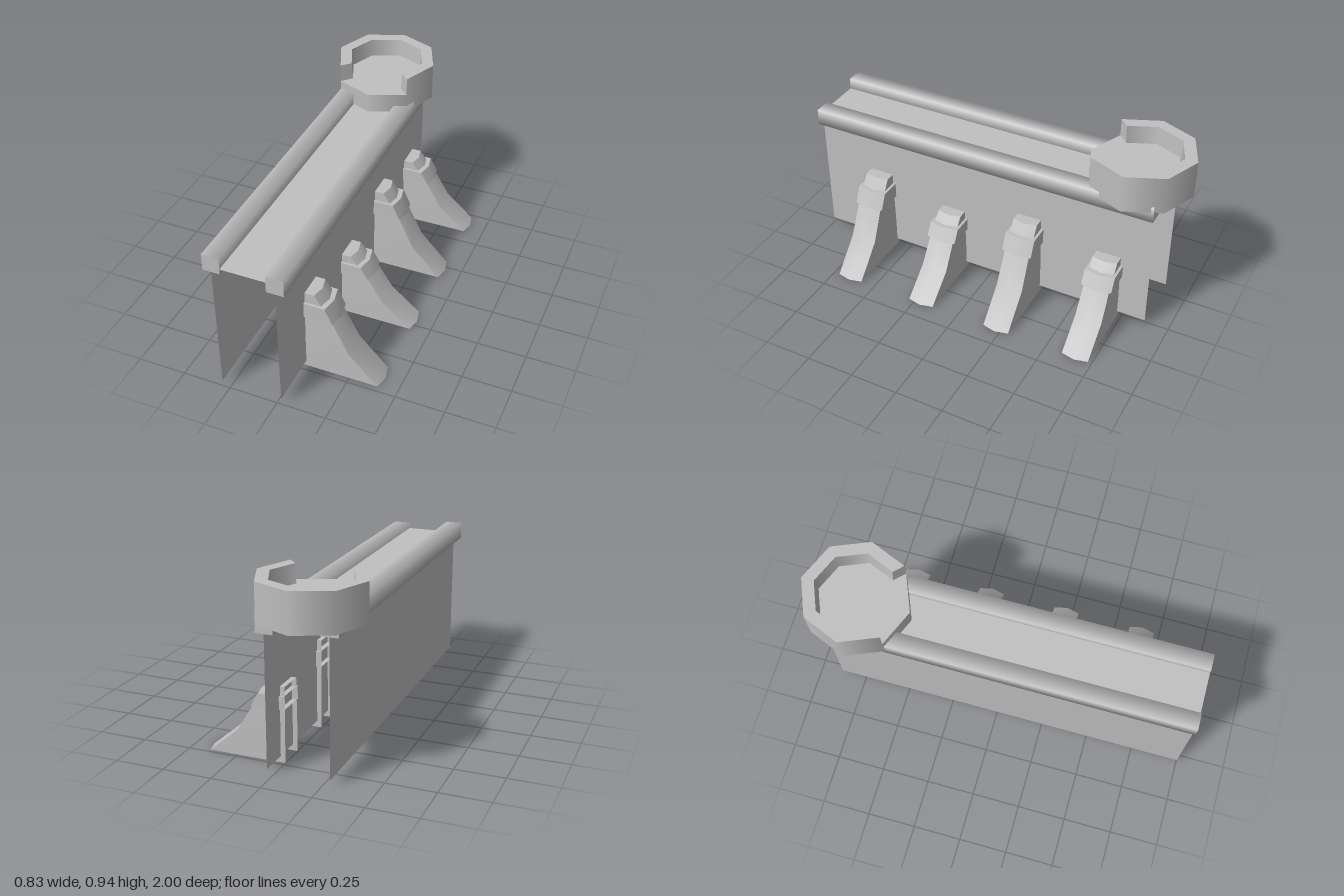
import * as THREE from 'three';
import { toCreasedNormals } from 'three/addons/utils/BufferGeometryUtils.js';

const stone = new THREE.MeshStandardMaterial({ color: 0xc0c0c0, side: THREE.DoubleSide });
stone.name = 'stone';

function add(parent, name, geometry, x = 0, y = 0, z = 0) {
  const mesh = new THREE.Mesh(geometry, stone);
  mesh.name = name;
  mesh.position.set(x, y, z);
  parent.add(mesh);
  return mesh;
}

// Skin over stacked sections [side x, ridge x, y, half width], open at the back
function pier(sections, capBottom) {
  const rings = sections.map(([xs, xr, y, w]) =>
    [[0, y, w], [xs, y, w], [xr, y, 0], [xs, y, -w], [0, y, -w]]);
  const pos = [];
  const tri = (a, b, c) => pos.push(...a, ...b, ...c);
  for (let i = 0; i < rings.length - 1; i++) {
    const lo = rings[i], hi = rings[i + 1];
    for (let j = 0; j < 4; j++) {
      tri(lo[j], lo[j + 1], hi[j + 1]);
      tri(lo[j], hi[j + 1], hi[j]);
    }
  }
  const top = rings[rings.length - 1], base = rings[0];
  for (let j = 1; j < 4; j++) {
    tri(top[0], top[j], top[j + 1]);
    if (capBottom) tri(base[0], base[j + 1], base[j]);
  }
  const g = new THREE.BufferGeometry();
  g.setAttribute('position', new THREE.Float32BufferAttribute(pos, 3));
  return toCreasedNormals(g, 0.7);
}

export function createModel() {
  const model = new THREE.Group();
  model.name = 'rampart';
  const length = 1.88, midZ = 0.06;

  // Thin side walls
  for (const [name, x, top] of [['leftWall', 0.024, 0.74], ['rightWall', -0.288, 0.75]]) {
    const g = new THREE.PlaneGeometry(length, top - 0.033).rotateY(Math.PI / 2);
    add(model, name, g, x, (top + 0.033) / 2, midZ);
  }

  // Walkway between the rails
  add(model, 'walkway', new THREE.PlaneGeometry(0.312, length).rotateX(-Math.PI / 2), -0.132, 0.74, midZ);

  // Square rails, softly shaded along their length
  const rail = new THREE.CylinderGeometry(0.0615, 0.0615, length, 4, 1, false, Math.PI / 4).rotateX(Math.PI / 2);
  add(model, 'leftRail', rail, 0.024, 0.729, midZ);
  add(model, 'rightRail', rail, -0.288, 0.755, midZ);

  // Octagonal lookout platform with a parapet open towards the walkway
  const tower = new THREE.Group();
  tower.name = 'tower';
  tower.position.set(-0.146, 0, -0.733);
  model.add(tower);
  const R = 0.268, r = 0.204, rFoot = 0.196, y0 = 0.74, y1 = 0.842, y2 = 0.936;
  const q = Math.PI / 4;
  const band = (name, a, b, partial) => add(tower, name, new THREE.LatheGeometry(
    [new THREE.Vector2(...a), new THREE.Vector2(...b)],
    partial ? 6 : 8, partial ? q : 0, partial ? 6 * q : 8 * q));
  band('platformUnderside', [0, y0], [R, y0]);
  band('platformSide', [R, y0], [R, y1]);
  band('platformFloor', [R, y1], [0, y1]);
  band('parapetOutside', [R, y1], [R, y2], true);
  band('parapetTop', [R, y2], [r, y2], true);
  band('parapetInside', [r, y2], [rFoot, y1], true);
  const end = new THREE.Shape([[rFoot, y1], [R, y1], [R, y2], [r, y2]].map(p => new THREE.Vector2(...p)));
  for (const phi of [q, -q]) {
    add(tower, 'parapetEnd', new THREE.ShapeGeometry(end)).rotation.y = phi - Math.PI / 2;
  }

  // Flared buttresses with collars along the left wall
  const body = pier([
    [0.397, 0.413, 0, 0.07], [0.246, 0.262, 0.158, 0.07],
    [0.162, 0.178, 0.327, 0.067], [0.072, 0.088, 0.463, 0.065],
  ], false);
  const collar = pier([[0.17, 0.187, 0.327, 0.08], [0.131, 0.147, 0.409, 0.08]], true);
  for (const [z, height] of [[0.65, 1], [0.214, 0.79], [-0.223, 1], [-0.66, 0.825]]) {
    const buttress = new THREE.Group();
    buttress.name = 'buttress';
    buttress.position.z = z;
    buttress.scale.y = height;
    add(buttress, 'buttressBody', body);
    add(buttress, 'buttressCollar', collar);
    model.add(buttress);
  }
  return model;
}
